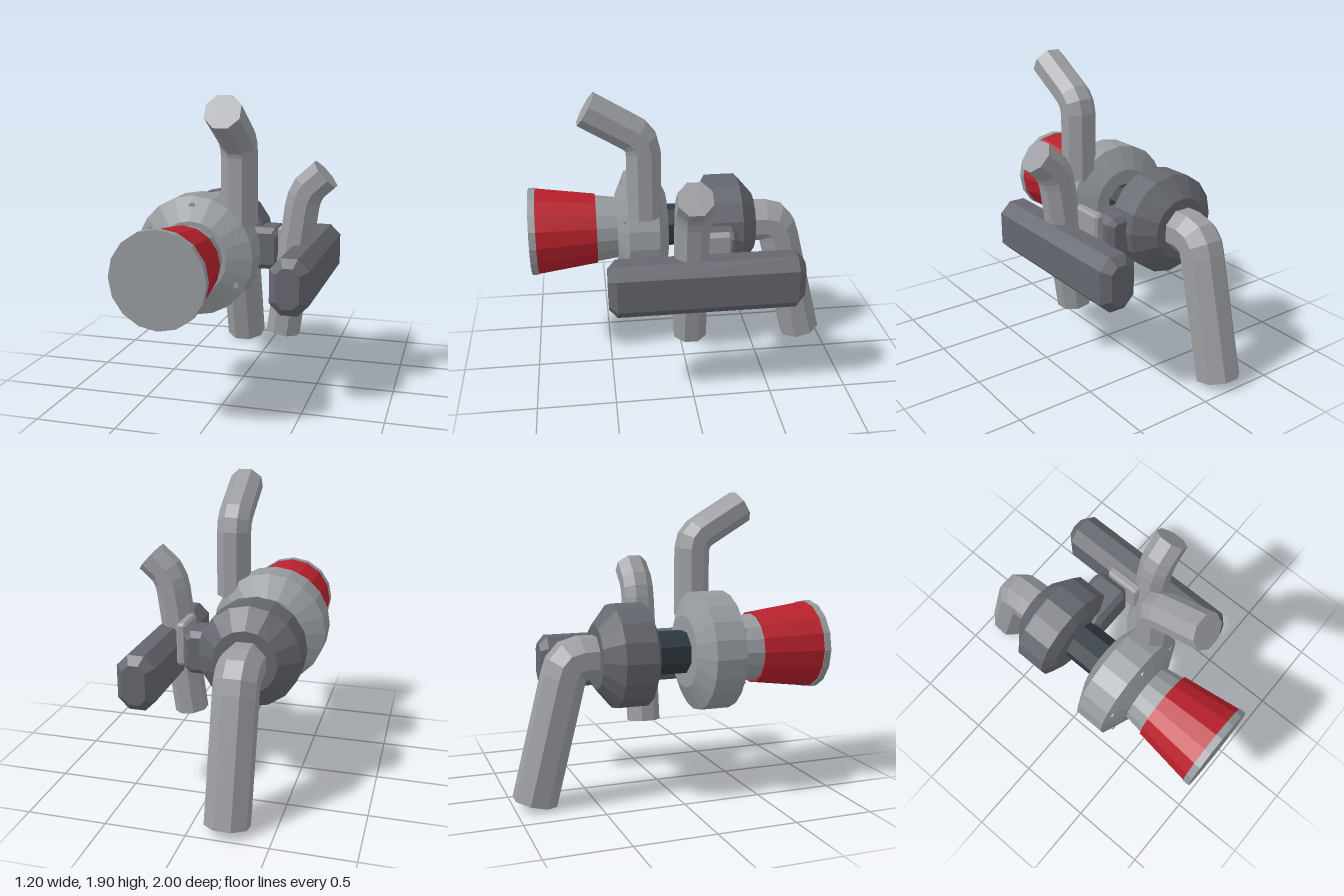
import * as THREE from 'three';

const AXIS_X = -0.22, AXIS_Y = 0.905;

// Octagonal tube along a planar path with mitred joints; normal is the plane's normal, half the half-width across flats
function pipeGeometry(path, normal, half) {
  const pts = path.map(p => new THREE.Vector3(...p));
  const b = new THREE.Vector3(...normal);
  const radius = half / Math.cos(Math.PI / 8);
  const pos = [], index = [], last = pts.length - 1;
  pts.forEach((p, i) => {
    const before = p.clone().sub(pts[Math.max(i - 1, 0)]).normalize();
    const after = pts[Math.min(i + 1, last)].clone().sub(p).normalize();
    const t = before.clone().add(after).normalize();
    const mitre = 1 / Math.max(t.dot(i ? before : after), 0.5);
    const n = b.clone().cross(t).multiplyScalar(mitre);
    for (let j = 0; j < 8; j++) {
      const a = (j + 0.5) * Math.PI / 4;
      pos.push(...p.clone().addScaledVector(n, radius * Math.cos(a)).addScaledVector(b, radius * Math.sin(a)).toArray());
    }
  });
  const start = pos.length / 3;
  pos.push(...pts[0].toArray(), ...pts[last].toArray());
  for (let j = 0; j < 8; j++) {
    const k = (j + 1) % 8;
    for (let i = 0; i < last; i++) {
      const r = i * 8, s = r + 8;
      index.push(r + j, r + k, s + k, r + j, s + k, s + j);
    }
    index.push(start, k, j, start + 1, last * 8 + j, last * 8 + k);
  }
  const g = new THREE.BufferGeometry();
  g.setAttribute('position', new THREE.Float32BufferAttribute(pos, 3));
  g.setIndex(index);
  const flat = g.toNonIndexed();
  flat.computeVertexNormals();
  return flat;
}

// Faceted body turned about the main z axis; profile is [radius, z] from back to front
function turned(profile, sides, turn = 0) {
  const g = new THREE.LatheGeometry(profile.map(p => new THREE.Vector2(...p)), sides, turn);
  return g.rotateX(Math.PI / 2).translate(AXIS_X, AXIS_Y, 0);
}

// Box with clipped long edges and bevelled ends, running along z
function clippedBox(w, h, d, clip, bevel) {
  const x = w / 2 - bevel, y = h / 2 - bevel;
  const c = Math.max(clip - bevel * 0.586, 0.003);
  const s = new THREE.Shape([
    [x - c, -y], [x, c - y], [x, y - c], [x - c, y], [c - x, y], [-x, y - c], [-x, c - y], [c - x, -y],
  ].map(p => new THREE.Vector2(...p)));
  const depth = d - 2 * bevel;
  const g = new THREE.ExtrudeGeometry(s, { depth, bevelEnabled: true, bevelSize: bevel, bevelThickness: bevel, bevelSegments: 1 });
  return g.translate(0, 0, -depth / 2);
}

export function createModel() {
  const model = new THREE.Group();
  model.name = 'turbocharger';
  const material = (name, color) => {
    const m = new THREE.MeshStandardMaterial({ color, flatShading: true });
    m.name = name;
    return m;
  };
  const pipeGrey = material('pipe grey', 0x9b9da2);
  const castGrey = material('cast grey', 0x969b9e);
  const ironGrey = material('dark iron', 0x65676f);
  const shaftDark = material('shaft dark', 0x2f3940);
  const red = material('red silicone', 0xb8202c);
  const add = (name, geometry, mat, x = 0, y = 0, z = 0) => {
    const mesh = new THREE.Mesh(geometry, mat);
    mesh.name = name;
    mesh.position.set(x, y, z);
    model.add(mesh);
    return mesh;
  };

  // Main rotating body, front to back
  add('intakeRim', turned([[0, 0.955], [0.29, 0.955], [0.29, 1], [0, 1]], 16), castGrey);
  add('intakeHose', turned([[0, 0.565], [0.232, 0.565], [0.285, 0.957], [0, 0.957]], 16), red);
  add('intakeNeck', turned([[0.2, 0.41], [0.222, 0.57]], 16), castGrey);
  add('compressorHousing', turned([[0, 0.1], [0.23, 0.1], [0.378, 0.17], [0.378, 0.365], [0.23, 0.43], [0, 0.43]], 20), castGrey);
  add('shaftHousing', turned([[0.14, -0.16], [0.14, 0.12]], 8, Math.PI / 8), shaftDark);
  add('turbineHousing', turned([[0, -0.485], [0.2, -0.485], [0.325, -0.38], [0.325, -0.18], [0.235, -0.135], [0, -0.135]], 16), ironGrey);

  // Bolts on the front chamfer of the compressor
  for (let i = 0; i < 6; i++) {
    const a = Math.PI / 2 + i * Math.PI / 3;
    const bolt = new THREE.CylinderGeometry(0.02, 0.02, 0.04, 8).rotateX(Math.PI / 2);
    add('bolt', bolt, castGrey, AXIS_X + 0.32 * Math.cos(a), AXIS_Y + 0.32 * Math.sin(a), 0.373);
  }

  // Bent pipes
  add('exhaustPipe', pipeGeometry([
    [AXIS_X, 0.905, -0.45], [AXIS_X, 0.905, -0.57], [AXIS_X, 0.888, -0.63],
    [AXIS_X, 0.85, -0.665], [AXIS_X, 0.79, -0.685], [AXIS_X, 0.032, -0.874],
  ], [1, 0, 0], 0.13), pipeGrey);
  add('chargePipe', pipeGeometry([
    [0.045, 1.1, 0.26], [0.045, 1.53, 0.26], [0.045, 1.59, 0.275],
    [0.045, 1.635, 0.312], [0.045, 1.665, 0.36], [0.045, 1.81, 0.605],
  ], [1, 0, 0], 0.105), pipeGrey);
  add('coolantPipe', pipeGeometry([
    [0.27, 0.35, 0], [0.385, 1.185, 0], [0.4, 1.245, 0], [0.432, 1.305, 0], [0.532, 1.395, 0],
  ], [0, 0, 1], 0.103), pipeGrey);

  // Side-mounted blocks
  add('sideTank', clippedBox(0.245, 0.35, 1.22, 0.07, 0.05), ironGrey, 0.408, 0.775, -0.09);
  add('wastegateBlock', clippedBox(0.32, 0.28, 0.25, 0.04, 0.035), ironGrey, 0.06, 0.87, -0.205);
  add('wastegatePlate', clippedBox(0.065, 0.28, 0.245, 0.015, 0.015), pipeGrey, 0.252, 0.897, -0.145);

  return model;
}
